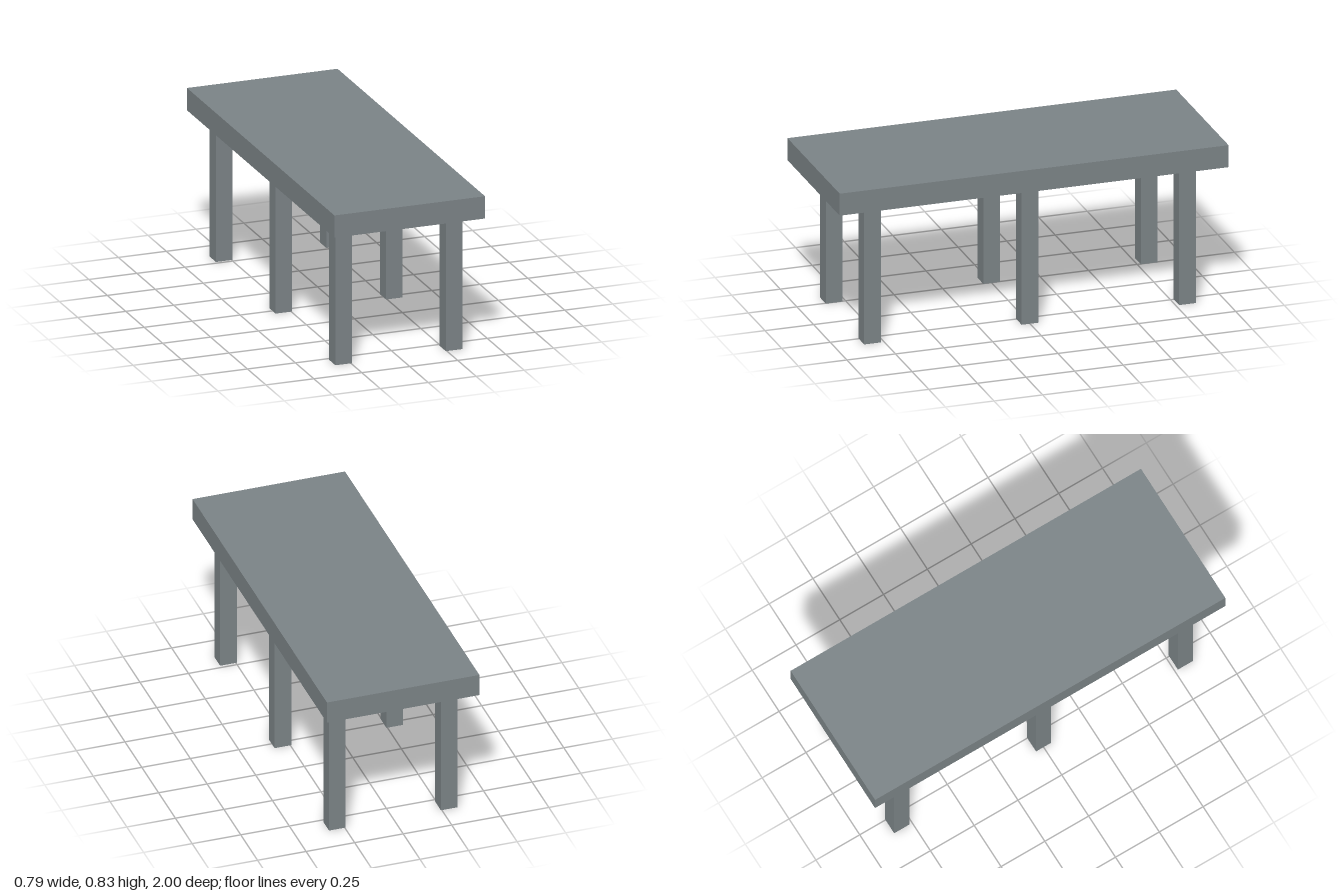
import * as THREE from 'three';

export function createModel() {
  const model = new THREE.Group();
  model.name = 'table';
  const slateGrey = new THREE.MeshStandardMaterial({ color: 0x7a8285 });
  slateGrey.name = 'slateGrey';

  const legHeight = 0.714, topThickness = 0.115, legWidth = 0.086;

  const addBox = (name, size, position) => {
    const mesh = new THREE.Mesh(new THREE.BoxGeometry(...size), slateGrey);
    mesh.name = name;
    mesh.position.set(...position);
    model.add(mesh);
  };

  // Thick rectangular slab
  addBox('tableTop', [0.785, topThickness, 2], [0, legHeight + topThickness / 2, 0]);

  // Three pairs of square legs
  const rows = { front: 0.81, middle: 0, back: -0.81 };
  for (const [row, z] of Object.entries(rows)) {
    for (const side of [1, -1]) {
      addBox(`${row}${side > 0 ? 'Left' : 'Right'}Leg`,
        [legWidth, legHeight, legWidth], [side * 0.288, legHeight / 2, z]);
    }
  }
  return model;
}
